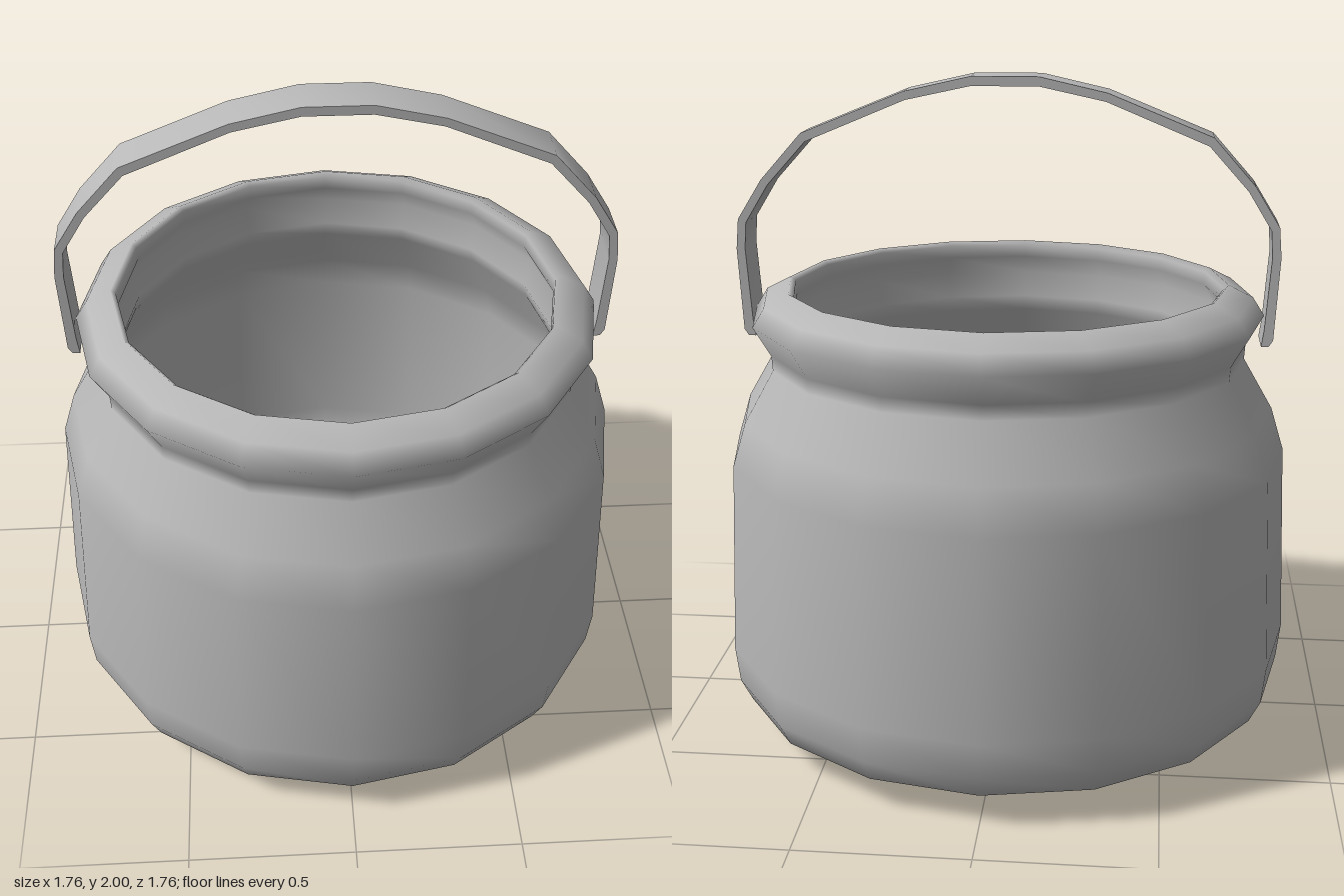
import * as THREE from 'three';
import { toCreasedNormals } from 'three/addons/utils/BufferGeometryUtils.js';

const SIDES = 16;
const HALF_WIDTH = 0.07;

const grey = new THREE.MeshStandardMaterial({ color: 0xb8b8b8 });
grey.name = 'grey';

const toPoints = (list) => list.map(([x, y]) => new THREE.Vector2(x, y));

// Hollow pot: outside from the base up, over the rolled rim, then down the inside
function makePot() {
  const profile = toPoints([
    [0, 0.005], [0.3, 0.012], [0.57, 0.03], [0.75, 0.06], [0.83, 0.1], [0.865, 0.17], [0.878, 0.28],
    [0.855, 0.87], [0.815, 1.0], [0.725, 1.155], [0.728, 1.2], [0.78, 1.29],
    [0.745, 1.345], [0.67, 1.383], [0.655, 1.37], [0.652, 1.33], [0.685, 1.27],
    [0.66, 1.19], [0.675, 1.14], [0.76, 0.98], [0.8, 0.86], [0.82, 0.28],
    [0.79, 0.14], [0.7, 0.09], [0, 0.05],
  ]);
  const pot = new THREE.Mesh(new THREE.LatheGeometry(profile, SIDES), grey);
  pot.name = 'pot';
  return pot;
}

// Flat strap bent into an arch, outlined in x and y and extruded along z
function makeHandle() {
  const outer = [[0.792, 1.21], [0.805, 1.23], [0.818, 1.48], [0.81, 1.57], [0.735, 1.69],
    [0.61, 1.83], [0.3, 1.955], [0.1, 2]];
  const inner = [[0.77, 1.21], [0.777, 1.26], [0.792, 1.48], [0.786, 1.56], [0.715, 1.675],
    [0.597, 1.805], [0.295, 1.93], [0.1, 1.972]];
  const mirror = (list) => list.map(([x, y]) => [-x, y]);
  const outline = [
    ...outer, ...mirror(outer).reverse(),
    ...mirror(inner), ...[...inner].reverse(),
  ];
  const strap = new THREE.ExtrudeGeometry(new THREE.Shape(toPoints(outline)), {
    depth: HALF_WIDTH * 2, bevelEnabled: false,
  });
  strap.translate(0, 0, -HALF_WIDTH);
  const handle = new THREE.Mesh(toCreasedNormals(strap, 0.9), grey);
  handle.name = 'handle';
  return handle;
}

export function createModel() {
  const model = new THREE.Group();
  model.name = 'potWithHandle';
  model.add(makePot(), makeHandle());
  return model;
}
